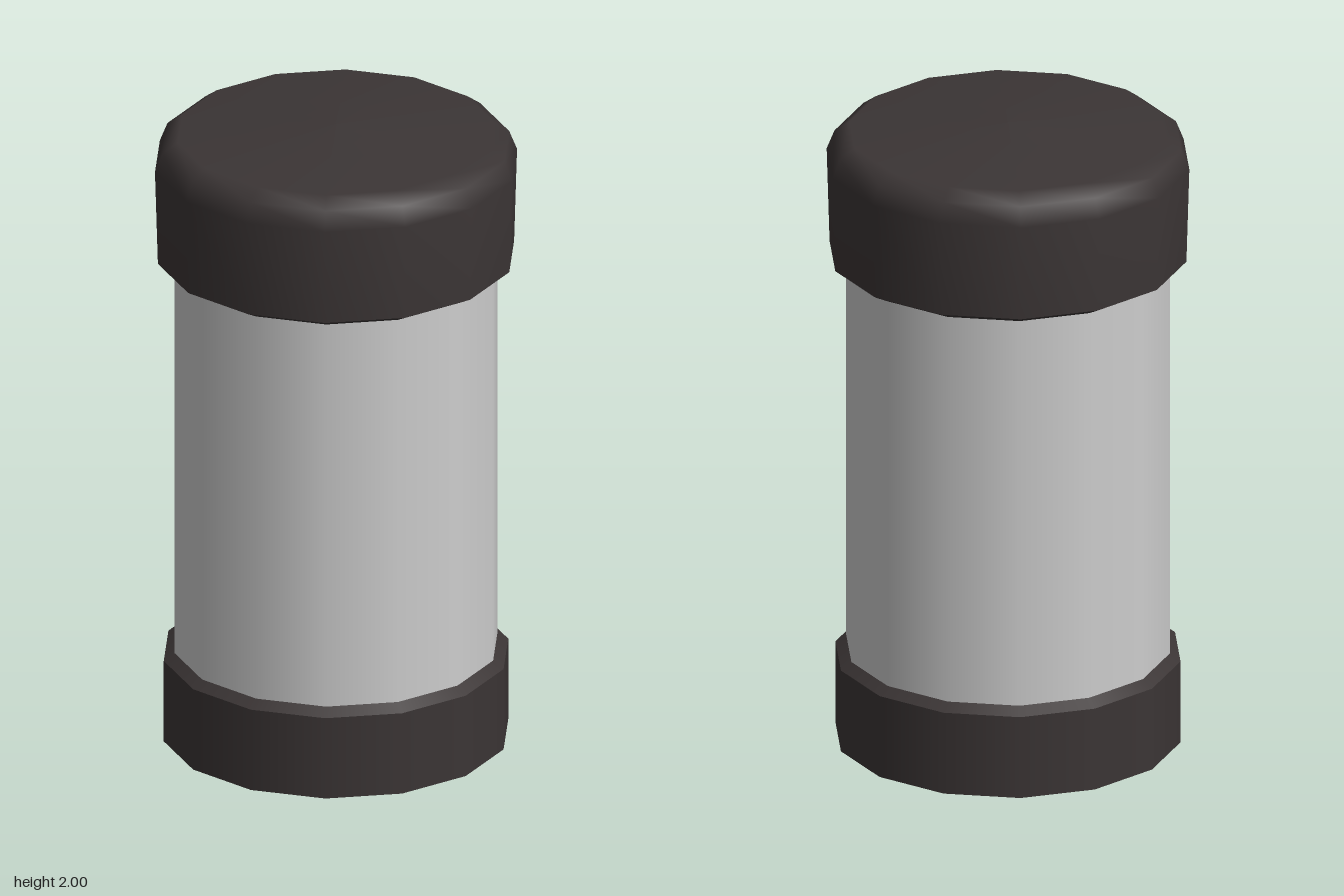
import * as THREE from 'three';

const SIDES = 14;

export function createModel() {
  const model = new THREE.Group();
  model.name = 'canister';

  const dark = new THREE.MeshStandardMaterial({ color: 0x3b3535, side: THREE.DoubleSide });
  dark.name = 'dark plastic';
  const light = new THREE.MeshStandardMaterial({ color: 0xcdcdcd, side: THREE.DoubleSide });
  light.name = 'light grey';

  // Turned part from [radius, height] pairs, listed from bottom to top on the outside
  const turned = (name, material, profile, parent) => {
    const points = profile.map(([r, y]) => new THREE.Vector2(r, y));
    const mesh = new THREE.Mesh(new THREE.LatheGeometry(points, SIDES), material);
    mesh.name = name;
    parent.add(mesh);
  };
  const group = (name) => {
    const g = new THREE.Group();
    g.name = name;
    model.add(g);
    return g;
  };

  // Hollow tube, open at the bottom
  turned('tube', light, [[0.497, 0.125], [0.497, 1.56]], model);

  // Base collar: inner lip, wall and bevel as separate pieces for sharp edges
  const base = group('base');
  turned('baseInnerLip', dark, [[0.495, 0.125], [0.53, 0]], base);
  turned('baseWall', dark, [[0.53, 0], [0.53, 0.265]], base);
  turned('baseBevel', dark, [[0.53, 0.265], [0.496, 0.29]], base);

  // Lid: bevelled underside, then a smoothly rounded wall and shallow peak
  const lid = group('lid');
  turned('lidUnderside', dark, [[0.496, 1.55], [0.548, 1.577]], lid);
  turned('lidShell', dark, [
    [0.548, 1.577], [0.557, 1.88], [0.533, 1.94], [0.487, 1.973], [0, 2],
  ], lid);

  return model;
}
